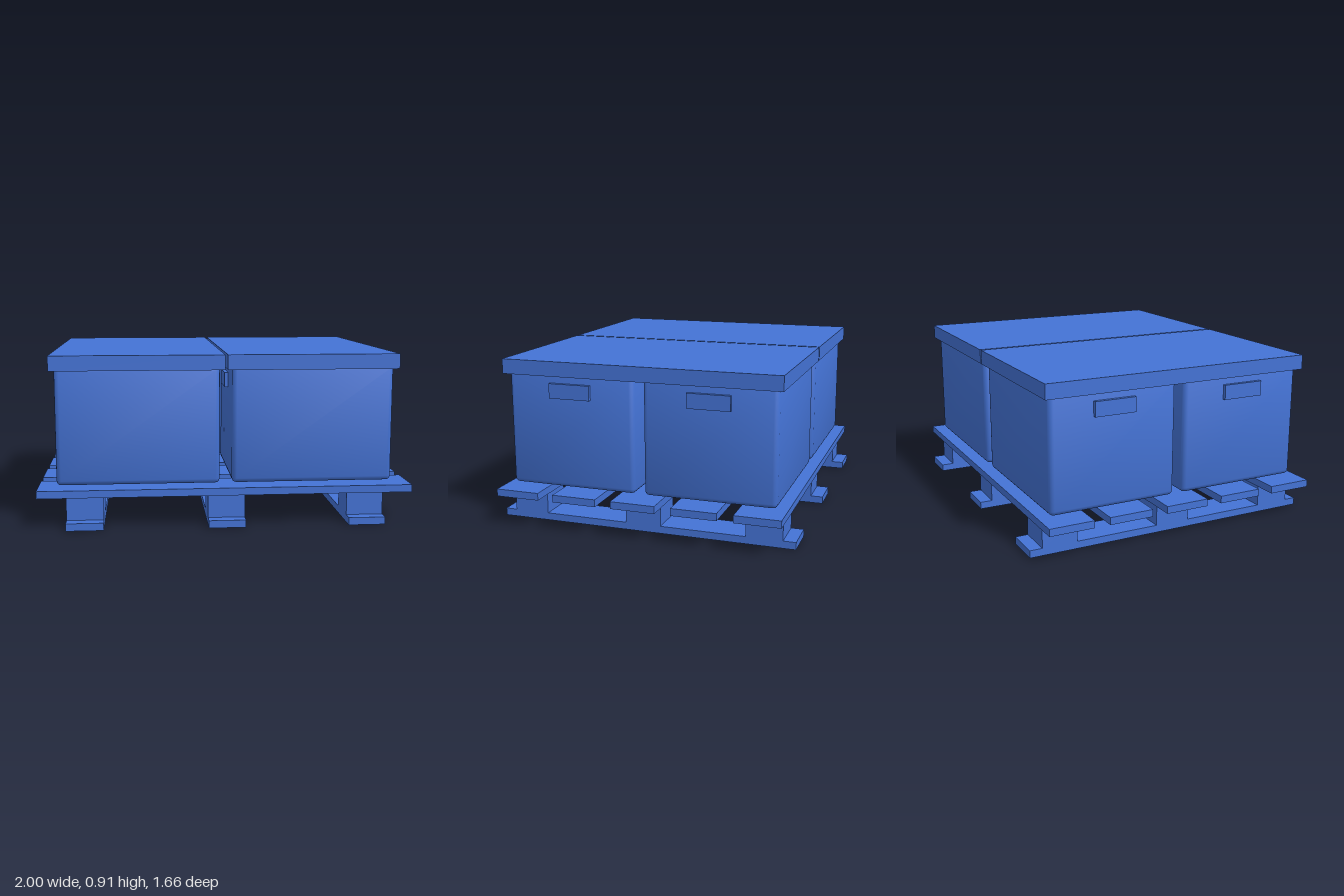
import * as THREE from 'three';
import { RoundedBoxGeometry } from 'three/addons/geometries/RoundedBoxGeometry.js';

export function createModel() {
  const model = new THREE.Group();
  model.name = 'palletWithBins';
  const blue = new THREE.MeshStandardMaterial({ color: 0x4473d6 });
  blue.name = 'blue plastic';

  const add = (parent, name, geometry, x, y, z) => {
    const mesh = new THREE.Mesh(geometry, blue);
    mesh.name = name;
    mesh.position.set(x, y, z);
    parent.add(mesh);
    return mesh;
  };

  // Pallet: three runners with three blocks each, five deck slats across
  const pallet = new THREE.Group();
  pallet.name = 'pallet';
  model.add(pallet);
  const runner = new THREE.BoxGeometry(0.197, 0.04, 1.66);
  const block = new THREE.BoxGeometry(0.197, 0.125, 0.197);
  const slat = new THREE.BoxGeometry(2, 0.04, 0.246);
  for (const x of [-0.75, -0.002, 0.747]) {
    add(pallet, 'runner', runner, x, 0.02, 0);
    for (const z of [-0.663, 0.002, 0.667]) add(pallet, 'block', block, x, 0.1025, z);
  }
  for (let i = -2; i <= 2; i++) add(pallet, 'deckSlat', slat, 0, 0.185, 0.002 + i * 0.3325);

  // Bin body: rounded box with normals leaning outward for softly bulging sides
  const body = new RoundedBoxGeometry(0.865, 0.63, 0.712, 2, 0.025);
  const p = body.attributes.position;
  const n = body.attributes.normal;
  const v = new THREE.Vector3();
  for (let i = 0; i < p.count; i++) {
    v.fromBufferAttribute(n, i);
    v.x += 0.2 * Math.sign(p.getX(i));
    v.y += 0.2 * Math.sign(p.getY(i));
    v.z += 0.2 * Math.sign(p.getZ(i));
    v.normalize();
    n.setXYZ(i, v.x, v.y, v.z);
  }

  // Two columns of two bins, each column under one long lid
  const handle = new THREE.BoxGeometry(0.04, 0.08, 0.23);
  const lid = new THREE.BoxGeometry(0.915, 0.08, 1.53);
  for (const x of [-0.467, 0.463]) {
    for (const z of [-0.381, 0.384]) {
      const bin = new THREE.Group();
      bin.name = 'bin';
      bin.position.set(x, 0, z);
      model.add(bin);
      add(bin, 'binBody', body, 0, 0.535, 0);
      for (const side of [-1, 1]) add(bin, 'handle', handle, side * 0.432, 0.75, 0);
    }
    add(model, 'lid', lid, x, 0.869, 0.001);
  }
  return model;
}
